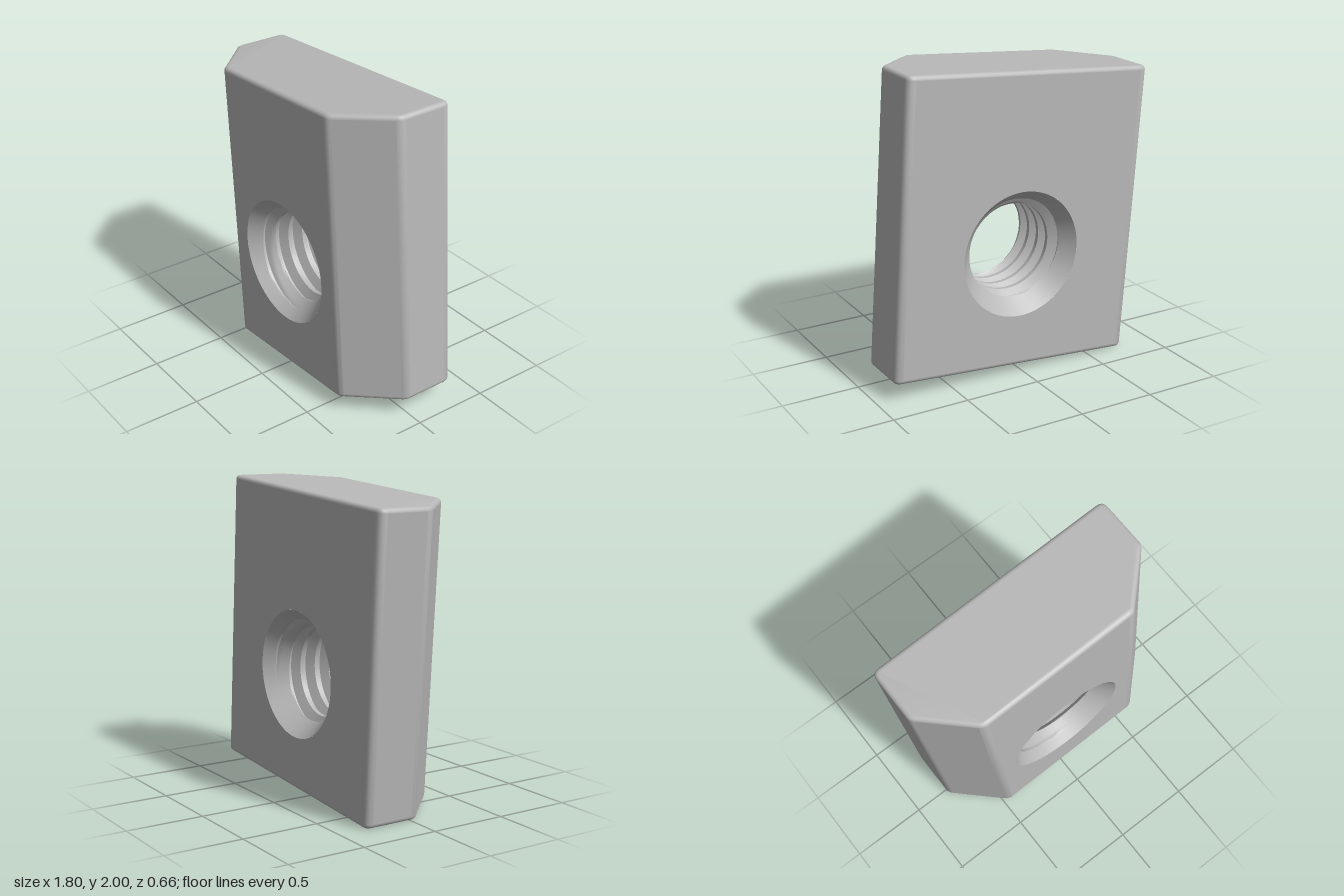
import * as THREE from 'three';
import { toCreasedNormals } from 'three/addons/utils/BufferGeometryUtils.js';

const W = 0.835, H = 0.945, D = 0.328;      // half width, height and depth
const FRONT_W = 0.535;                      // half width of the narrow front face
const EDGE = 0.03, BACK_EDGE = 0.05, BEVEL = 0.027;
const HOLE_Y = -0.205, MOUTH_R = 0.405, MINOR_R = 0.29, MAJOR_R = 0.35;
const PITCH = 0.11, CONE_SLOPE = 0.8, SEGMENTS = 96;

// Polygon with softened corners; each corner is [x, y, cut length]
function roundedPolygon(corners) {
  const shape = new THREE.Shape();
  const n = corners.length;
  corners.forEach(([x, y, cut], i) => {
    const p = new THREE.Vector2(x, y);
    const toward = (c) => new THREE.Vector2(c[0], c[1]).sub(p).setLength(cut).add(p);
    const a = toward(corners[(i + n - 1) % n]);
    const b = toward(corners[(i + 1) % n]);
    if (i === 0) shape.moveTo(a.x, a.y);
    else shape.lineTo(a.x, a.y);
    shape.quadraticCurveTo(x, y, b.x, b.y);
  });
  shape.closePath();
  return shape;
}

// Outer walls: the section extruded upward, without its front and back flats
function wallsGeometry() {
  const section = roundedPolygon([
    [-W, D, BACK_EDGE], [-W, -0.03, EDGE], [-FRONT_W, -D, EDGE],
    [FRONT_W, -D, EDGE], [W, -0.03, EDGE], [W, D, BACK_EDGE],
  ]);
  const depth = 2 * (H - BEVEL);
  const extruded = new THREE.ExtrudeGeometry(section, {
    depth, curveSegments: 6, bevelThickness: BEVEL, bevelSize: BEVEL,
    bevelOffset: -BEVEL, bevelSegments: 4,
  });
  extruded.translate(0, 0, -depth / 2).rotateX(-Math.PI / 2);
  const smooth = toCreasedNormals(extruded, 0.6);
  const pos = smooth.attributes.position, nor = smooth.attributes.normal;
  const positions = [], normals = [];
  const tri = new THREE.Triangle(), faceNormal = new THREE.Vector3();
  for (let i = 0; i < pos.count; i += 3) {
    tri.setFromAttributeAndIndices(pos, i, i + 1, i + 2);
    const corners = [tri.a, tri.b, tri.c];
    if ([D, -D].some((z) => corners.every((c) => Math.abs(c.z - z) < 1e-4))) continue;
    const large = tri.getArea() > 0.05;     // keep the big faces perfectly flat
    tri.getNormal(faceNormal);
    corners.forEach((c, k) => {
      positions.push(c.x, c.y, c.z);
      if (large) normals.push(faceNormal.x, faceNormal.y, faceNormal.z);
      else normals.push(nor.getX(i + k), nor.getY(i + k), nor.getZ(i + k));
    });
  }
  const g = new THREE.BufferGeometry();
  g.setAttribute('position', new THREE.Float32BufferAttribute(positions, 3));
  g.setAttribute('normal', new THREE.Float32BufferAttribute(normals, 3));
  return g;
}

// Flat face with a round opening
function faceGeometry(halfWidth) {
  const h = H - BEVEL;
  const shape = new THREE.Shape([
    new THREE.Vector2(-halfWidth, -h), new THREE.Vector2(halfWidth, -h),
    new THREE.Vector2(halfWidth, h), new THREE.Vector2(-halfWidth, h),
  ]);
  shape.holes.push(new THREE.Path().absarc(0, HOLE_Y, MOUTH_R, 0, Math.PI * 2, true));
  return new THREE.ShapeGeometry(shape, SEGMENTS);
}

// Thread radius over one turn: crest, flank, root, flank
function threadRadius(f) {
  const rise = Math.min((f - 0.25) / 0.3125, (1 - f) / 0.3125);
  return MINOR_R + (MAJOR_R - MINOR_R) * THREE.MathUtils.clamp(rise, 0, 1);
}

// Threaded hole with a countersink at both ends; rows follow the helix
function boreGeometry() {
  const steps = 16;
  const rows = Math.ceil((2 * D / PITCH + 2) * steps);
  const positions = [], index = [];
  for (let i = 0; i <= SEGMENTS; i++) {
    const angle = (i / SEGMENTS) * Math.PI * 2;
    for (let j = 0; j <= rows; j++) {
      const z = THREE.MathUtils.clamp(
        -D + PITCH * (j / steps + i / SEGMENTS - 1), -D, D);
      const turn = (z + D) / PITCH - i / SEGMENTS + 2;
      const f = Math.round((turn - Math.floor(turn)) * 1e6) / 1e6;
      const cone = MOUTH_R - CONE_SLOPE * (D - Math.abs(z));
      const r = Math.max(threadRadius(f), cone);
      positions.push(r * Math.cos(angle), HOLE_Y + r * Math.sin(angle), z);
      if (i < SEGMENTS && j < rows) {
        const a = i * (rows + 1) + j, b = a + rows + 1;
        index.push(a, a + 1, b, b, a + 1, b + 1);
      }
    }
  }
  const g = new THREE.BufferGeometry();
  g.setAttribute('position', new THREE.Float32BufferAttribute(positions, 3));
  g.setIndex(index);
  return toCreasedNormals(g, 0.45);
}

export function createModel() {
  const steel = new THREE.MeshStandardMaterial({ color: 0xb8b8b8 });
  steel.name = 'steel grey';
  const nut = new THREE.Group();
  nut.name = 'slotNut';
  const add = (name, geometry) => {
    const mesh = new THREE.Mesh(geometry, steel);
    mesh.name = name;
    nut.add(mesh);
    return mesh;
  };

  add('outerWalls', wallsGeometry());
  add('frontFace', faceGeometry(FRONT_W - EDGE)).position.z = D;
  const back = add('backFace', faceGeometry(W - BACK_EDGE));
  back.rotation.y = Math.PI;
  back.position.z = -D;
  add('threadedHole', boreGeometry());

  // The block leans slightly to one side
  nut.rotation.z = THREE.MathUtils.degToRad(4.1);
  nut.position.y = 1;
  const model = new THREE.Group();
  model.name = 'tiltedSlotNut';
  model.add(nut);
  return model;
}
